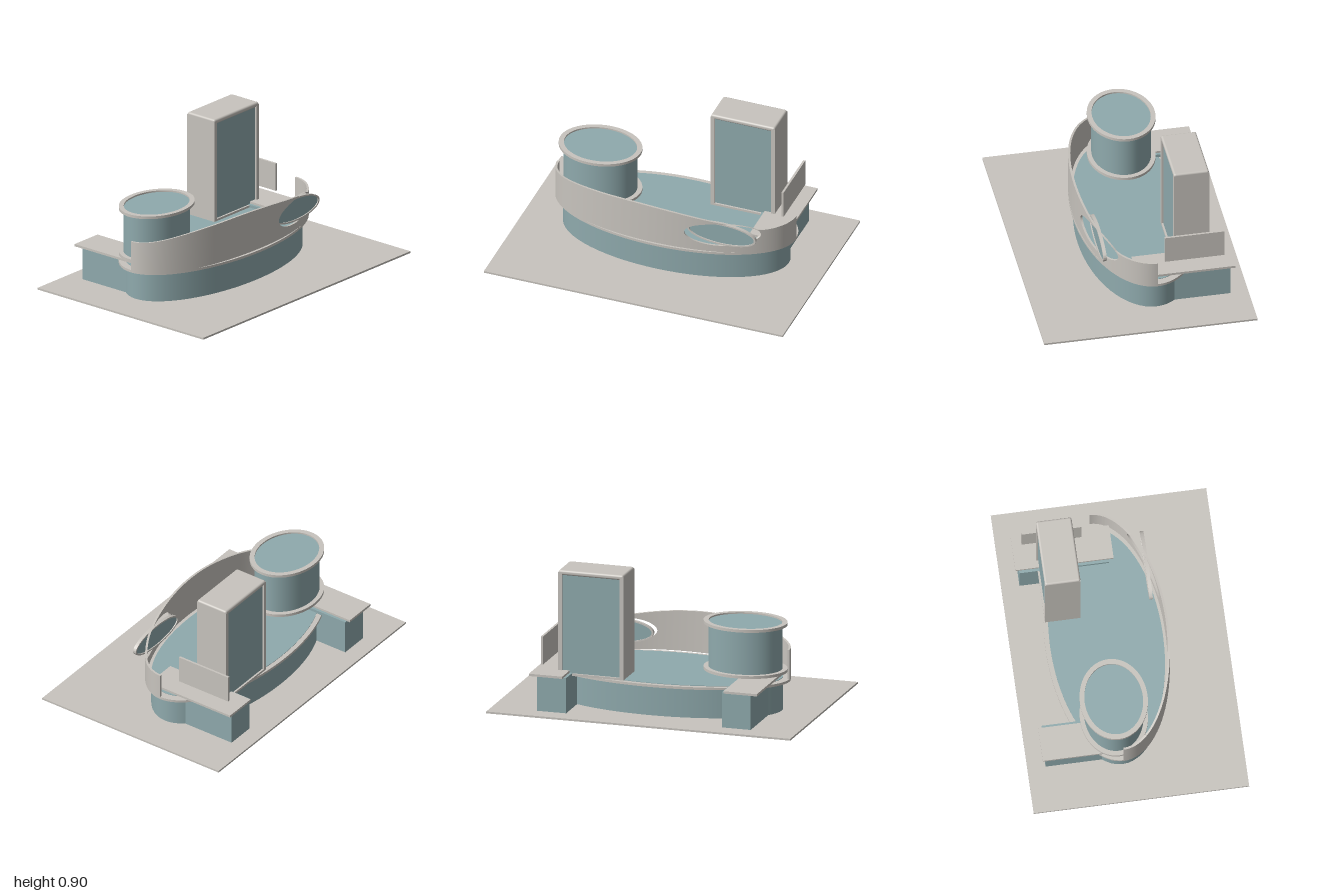
import * as THREE from 'three';
import { toCreasedNormals } from 'three/addons/utils/BufferGeometryUtils.js';
import { RoundedBoxGeometry } from 'three/addons/geometries/RoundedBoxGeometry.js';

const stone = new THREE.MeshStandardMaterial({ color: 0xc8c4be });
stone.name = 'paleStone';
const glass = new THREE.MeshStandardMaterial({ color: 0x8faaad });
glass.name = 'tealGlass';

const CZ = -0.085; // centre of the oval hall

export function createModel() {
  const model = new THREE.Group();
  model.name = 'pavilion';

  const add = (name, geometry, material, parent = model) => {
    const mesh = new THREE.Mesh(geometry, material);
    mesh.name = name;
    parent.add(mesh);
    return mesh;
  };
  // box given by its limits on each axis
  const block = (name, material, [x0, x1], [y0, y1], [z0, z1], parent) => {
    const mesh = add(name, new THREE.BoxGeometry(x1 - x0, y1 - y0, z1 - z0), material, parent);
    mesh.position.set((x0 + x1) / 2, (y0 + y1) / 2, (z0 + z1) / 2);
    return mesh;
  };
  // upright oval cylinder
  const oval = (name, material, x, z, rx, rz, y0, y1) => {
    const g = new THREE.CylinderGeometry(1, 1, y1 - y0, 64).scale(rx, 1, rz);
    add(name, g, material).position.set(x, (y0 + y1) / 2, z);
  };
  // flat oval ring in the xy plane
  const ovalRing = (rx, ry, ix, iy, depth) => {
    const shape = new THREE.Shape().absellipse(0, 0, rx, ry, 0, Math.PI * 2);
    shape.holes.push(new THREE.Path().absellipse(0, 0, ix, iy, 0, Math.PI * 2));
    const g = new THREE.ExtrudeGeometry(shape, { depth, bevelEnabled: false, curveSegments: 48 });
    return toCreasedNormals(g, 0.6);
  };

  block('groundPlate', stone, [-1, 1], [0, 0.012], [-0.68, 0.68]);

  // oval hall with its projecting rim
  oval('hall', glass, 0, CZ, 0.75, 0.355, 0.01, 0.223);
  const hallRim = add('hallRim', ovalRing(0.8, 0.385, 0.74, 0.35, 0.016), stone);
  hallRim.rotation.x = -Math.PI / 2;
  hallRim.position.set(0, 0.204, CZ);

  // curved front screen, pieced around the oval opening
  const hole = { x: 0.42, y: 0.35, a: 0.23, b: 0.08 };
  const topCurve = new THREE.SplineCurve([
    [-0.8, 0.41], [-0.6, 0.455], [-0.4, 0.482], [-0.15, 0.497], [0.1, 0.485],
    [0.35, 0.45], [0.52, 0.415], [0.65, 0.38], [0.8, 0.38],
  ].map(([x, y]) => new THREE.Vector2(x, y)));
  const topPoints = topCurve.getPoints(120);
  const topAt = (x) => {
    const i = Math.max(1, topPoints.findIndex((p) => p.x >= x - 1e-6));
    const p = topPoints[i - 1], q = topPoints[i];
    return THREE.MathUtils.lerp(p.y, q.y, THREE.MathUtils.clamp((x - p.x) / (q.x - p.x), 0, 1));
  };
  const bottomAt = (x) => 0.205 + 0.025 * (1 - (x / 0.8) ** 2);
  const holeHalf = (x) => hole.b * Math.sqrt(Math.max(0, 1 - ((x - hole.x) / hole.a) ** 2));

  const screen = new THREE.Group();
  screen.name = 'frontScreen';
  model.add(screen);
  const strip = (name, angleAt, low, high) => {
    const g = new THREE.BoxGeometry(1, 1, 1, 48, 1, 1);
    const p = g.attributes.position;
    for (let i = 0; i < p.count; i++) {
      const t = angleAt(p.getX(i) + 0.5);
      const x = 0.8 * Math.cos(t);
      const inset = p.getZ(i) > 0 ? 0 : 0.014;
      const y = p.getY(i) > 0 ? Math.max(low(x), high(x)) : low(x);
      p.setXYZ(i, (0.8 - inset) * Math.cos(t), y, CZ + (0.385 - inset) * Math.sin(t));
    }
    add(name, toCreasedNormals(g, 0.6), stone, screen);
  };
  const leftEdge = Math.acos((hole.x - hole.a) / 0.8);
  const rightEdge = Math.acos((hole.x + hole.a) / 0.8);
  const acrossHole = (u) => Math.acos((hole.x - hole.a * Math.cos(Math.PI * u)) / 0.8);
  strip('screenLong', (u) => THREE.MathUtils.lerp(Math.PI, leftEdge, u), bottomAt, topAt);
  strip('screenShort', (u) => THREE.MathUtils.lerp(rightEdge, 0, u), bottomAt, topAt);
  strip('screenBelowOpening', acrossHole, bottomAt, (x) => hole.y - holeHalf(x));
  strip('screenAboveOpening', acrossHole, (x) => hole.y + holeHalf(x), topAt);

  // flat oval window standing in the opening
  add('ovalWindowFrame', ovalRing(0.228, 0.078, 0.216, 0.068, 0.022), stone)
    .position.set(hole.x, hole.y, 0.212);
  const pane = new THREE.CylinderGeometry(1, 1, 0.008, 48).rotateX(Math.PI / 2).scale(0.218, 0.07, 1);
  add('ovalWindowPane', pane, glass).position.set(hole.x, hole.y, 0.223);

  // oval drum with a ring at top and base
  oval('drum', glass, -0.52, -0.11, 0.237, 0.185, 0.268, 0.574);
  for (const [name, y] of [['drumTopRing', 0.566], ['drumBaseRing', 0.266]]) {
    const ring = add(name, ovalRing(0.268, 0.213, 0.235, 0.183, 0.018), stone);
    ring.rotation.x = -Math.PI / 2;
    ring.position.set(-0.52, y, -0.11);
  }

  // tower: glass core in a frame open to front and back
  const tower = new THREE.Group();
  tower.name = 'tower';
  model.add(tower);
  const depth = [-0.45, -0.225];
  block('towerGlass', glass, [0.19, 0.585], [0.23, 0.88], [-0.438, -0.237], tower);
  block('towerLeftSide', stone, [0.577, 0.602], [0.224, 0.892], depth, tower);
  block('towerRightSide', stone, [0.173, 0.198], [0.224, 0.892], depth, tower);
  block('towerSill', stone, [0.198, 0.577], [0.224, 0.238], depth, tower);
  add('towerCap', new RoundedBoxGeometry(0.429, 0.032, 0.225, 3, 0.013), stone, tower)
    .position.set(0.3875, 0.889, -0.3375);

  // a pair of rear wings with overhanging roofs
  for (const [side, s] of [['left', 1], ['right', -1]]) {
    const span = (a, b) => (s > 0 ? [a, b] : [-b, -a]);
    block(side + 'Wing', glass, span(0.512, 0.702), [0.01, 0.241], [-0.565, 0]);
    block(side + 'WingRoof', stone, span(0.53, 0.75), [0.24, 0.255], [-0.588, 0.032]);
  }
  block('roofFin', stone, [0.676, 0.69], [0.305, 0.487], [-0.53, -0.15]);

  return model;
}
